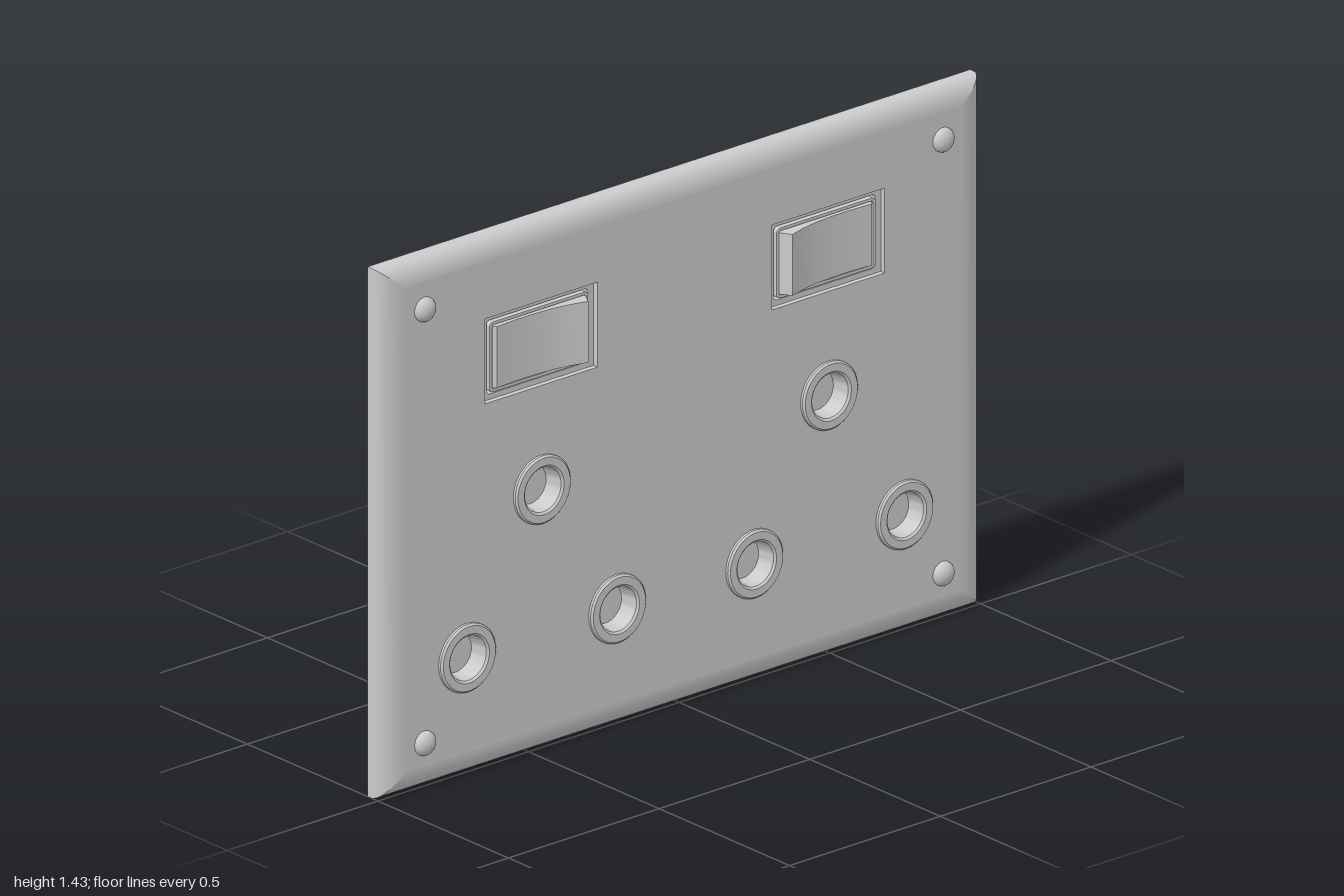
import * as THREE from 'three';
import { toCreasedNormals } from 'three/addons/utils/BufferGeometryUtils.js';

const W = 2, H = 1.435, BACK = -0.04, FACE = 0.017;
const BEVEL_X = 0.075, BEVEL_Y = 0.06;
const SWITCH_Y = 1.105, SWITCH_W = 0.374, SWITCH_H = 0.23;
const GANGS = [-0.473, 0.48];
const SOCKET_OFFSETS = [[0, 0.71], [-0.248, 0.32], [0.25, 0.32]];

const material = new THREE.MeshStandardMaterial({ color: 0xcccccc });

function add(parent, name, geometry, x = 0, y = 0, z = 0) {
  const mesh = new THREE.Mesh(geometry, material);
  mesh.name = name;
  mesh.position.set(x, y, z);
  parent.add(mesh);
  return mesh;
}

// Rectangle with optional rounded corners, centred on cx, cy
function rect(target, cx, cy, w, h, r = 0) {
  const x = cx - w / 2, y = cy - h / 2;
  if (r === 0) {
    target.moveTo(x, y).lineTo(x + w, y).lineTo(x + w, y + h).lineTo(x, y + h).closePath();
    return target;
  }
  target.moveTo(x + r, y);
  target.absarc(x + w - r, y + r, r, -Math.PI / 2, 0);
  target.absarc(x + w - r, y + h - r, r, 0, Math.PI / 2);
  target.absarc(x + r, y + h - r, r, Math.PI / 2, Math.PI);
  target.absarc(x + r, y + r, r, Math.PI, Math.PI * 1.5);
  return target;
}

// Mitred rim: four strips that round over from the side to the front face
function rimGeometry() {
  const profile = [[0, BACK]];
  for (let i = 0; i <= 8; i++) {
    const a = (i / 8) * Math.PI / 2;
    profile.push([1 - Math.cos(a), -0.025 + (FACE + 0.025) * Math.sin(a)]);
  }
  const corners = [[1, -1], [1, 1], [-1, 1], [-1, -1]];
  const pos = [], index = [];
  corners.forEach((a, k) => {
    const b = corners[(k + 1) % 4];
    const start = pos.length / 3;
    profile.forEach(([t, z], i) => {
      for (const [sx, sy] of [a, b]) {
        pos.push(sx * (W / 2 - t * BEVEL_X), H / 2 + sy * (H / 2 - t * BEVEL_Y), z);
      }
      if (i > 0) {
        const p = start + (i - 1) * 2;
        index.push(p, p + 1, p + 3, p, p + 3, p + 2);
      }
    });
  });
  const g = new THREE.BufferGeometry();
  g.setAttribute('position', new THREE.Float32BufferAttribute(pos, 3));
  g.setIndex(index);
  g.computeVertexNormals();
  return g;
}

// Front face pierced for the switches and sockets
function faceGeometry() {
  const shape = rect(new THREE.Shape(), 0, H / 2, W - 2 * BEVEL_X, H - 2 * BEVEL_Y);
  for (const gx of GANGS) {
    shape.holes.push(rect(new THREE.Path(), gx, SWITCH_Y, SWITCH_W, SWITCH_H));
    for (const [dx, y] of SOCKET_OFFSETS) {
      shape.holes.push(new THREE.Path().absarc(gx + dx, y, 0.07, 0, Math.PI * 2));
    }
  }
  const g = new THREE.ExtrudeGeometry(shape, { depth: 0.05, bevelEnabled: false, curveSegments: 24 });
  return g.translate(0, 0, FACE - 0.05);
}

function lathe(points, segments) {
  const g = new THREE.LatheGeometry(points.map(([r, z]) => new THREE.Vector2(r, z)), segments);
  return g.rotateX(Math.PI / 2);
}

// Rocker switch in its sunken surround; dir = 1 raises the +x end
function createSwitch(dir) {
  const group = new THREE.Group();
  group.name = 'switch';

  const surround = rect(new THREE.Shape(), 0, 0, SWITCH_W, SWITCH_H);
  surround.holes.push(rect(new THREE.Path(), 0, 0, 0.338, 0.2, 0.012));
  add(group, 'switchSurround', new THREE.ExtrudeGeometry(surround,
    { depth: 0.03, bevelEnabled: false, curveSegments: 6 }), 0, 0, -0.028);
  add(group, 'switchWell', new THREE.PlaneGeometry(SWITCH_W, SWITCH_H), 0, 0, -0.025);

  // Slim collar around the rocker
  const collar = rect(new THREE.Shape(), 0, 0, 0.328, 0.19, 0.012);
  collar.holes.push(rect(new THREE.Path(), 0, 0, 0.312, 0.174, 0.006));
  add(group, 'switchCollar', new THREE.ExtrudeGeometry(collar,
    { depth: 0.033, bevelEnabled: false, curveSegments: 6 }), 0, 0, -0.025);

  // Concave rocker: side profile extruded across its height
  let side = [[-0.153, -0.025], [0.158, -0.025], [0.155, 0.01], [0.138, 0.039], [0.09, 0.025],
    [0.04, 0.016], [-0.02, 0.012], [-0.08, 0.012], [-0.145, 0.016], [-0.153, 0.008]];
  if (dir < 0) side = side.map(([x, z]) => [-x, z]).reverse();
  const shape = new THREE.Shape(side.map(([x, z]) => new THREE.Vector2(x, z)));
  const rocker = new THREE.ExtrudeGeometry(shape, { depth: 0.166, bevelEnabled: false });
  rocker.rotateX(Math.PI / 2).scale(1, 1, 1).translate(0, 0.083, 0);
  add(group, 'rocker', toCreasedNormals(rocker, 0.4));
  return group;
}

export function createModel() {
  const model = new THREE.Group();
  model.name = 'socketPlate';

  // Wall plate
  add(model, 'plateRim', rimGeometry());
  add(model, 'plateFace', faceGeometry());
  add(model, 'plateBack', new THREE.PlaneGeometry(W, H).rotateY(Math.PI), 0, H / 2, BACK);

  // Raised socket rings with their sunken pin holes
  const ring = toCreasedNormals(lathe([[0.092, 0.01], [0.092, 0.024], [0.087, 0.029], [0.066, 0.029],
    [0.06, 0.024], [0.053, -0.025], [0, -0.025]], 48), 0.5);

  GANGS.forEach((gx, i) => {
    const sw = createSwitch(i === 0 ? 1 : -1);
    sw.position.set(gx, SWITCH_Y, 0);
    model.add(sw);
    for (const [dx, y] of SOCKET_OFFSETS) add(model, 'socketHole', ring, gx + dx, y);
  });

  // Domed corner screws
  const dome = [[0.033, 0.01], [0.033, 0.018]];
  for (let i = 1; i <= 6; i++) {
    const a = (i / 6) * Math.PI / 2;
    dome.push([0.033 * Math.cos(a), 0.018 + 0.022 * Math.sin(a)]);
  }
  const screw = lathe(dome, 24);
  for (const x of [-0.86, 0.86]) {
    for (const y of [0.125, 1.3]) add(model, 'screw', screw, x, y);
  }
  return model;
}
